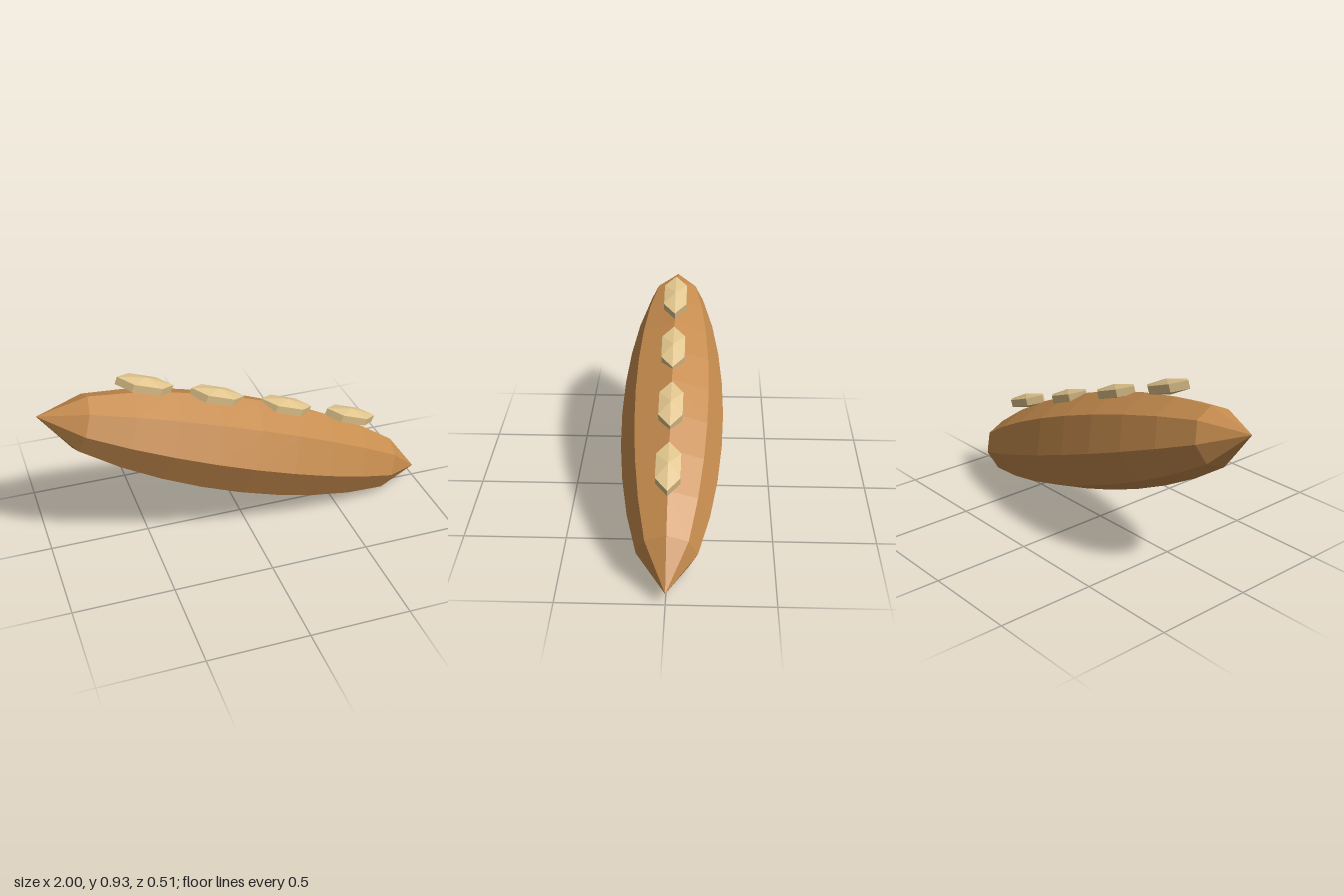
import * as THREE from 'three';

const LENGTH = 2.127, RADIUS = 0.255, TILT = THREE.MathUtils.degToRad(-19.93);

export function createModel() {
  const model = new THREE.Group();
  model.name = 'breadLoaf';
  const crustMaterial = new THREE.MeshStandardMaterial({ color: 0xc68c4e, flatShading: true });
  const scoreMaterial = new THREE.MeshStandardMaterial({ color: 0xe0c48c, flatShading: true });

  // Crust: eight-sided spindle, pointed at both ends
  const profile = [];
  for (let i = 0; i <= 10; i++) {
    const u = i / 10;
    const r = i % 10 === 0 ? 0 : RADIUS * Math.sqrt(Math.sin(Math.PI * u));
    profile.push(new THREE.Vector2(r, (u - 0.5) * LENGTH));
  }
  const crust = new THREE.Mesh(new THREE.LatheGeometry(profile, 8).rotateZ(-Math.PI / 2), crustMaterial);
  crust.name = 'crust';
  model.add(crust);

  // Scores: flattened six-sided lozenges in a row along the top
  const scoreGeometry = new THREE.SphereGeometry(1, 6, 3).scale(0.166, 0.039, 0.067 / 0.866);
  for (let i = 0; i < 4; i++) {
    const score = new THREE.Mesh(scoreGeometry, scoreMaterial);
    score.name = `score${i + 1}`;
    score.position.set(-0.023 + (i - 1.5) * 0.383, 0.246, 0);
    model.add(score);
  }

  // The whole loaf leans down towards +x
  model.rotation.z = TILT;
  model.position.y = 0.428;
  const loaf = new THREE.Group();
  loaf.name = 'loaf';
  loaf.add(model);
  return loaf;
}
